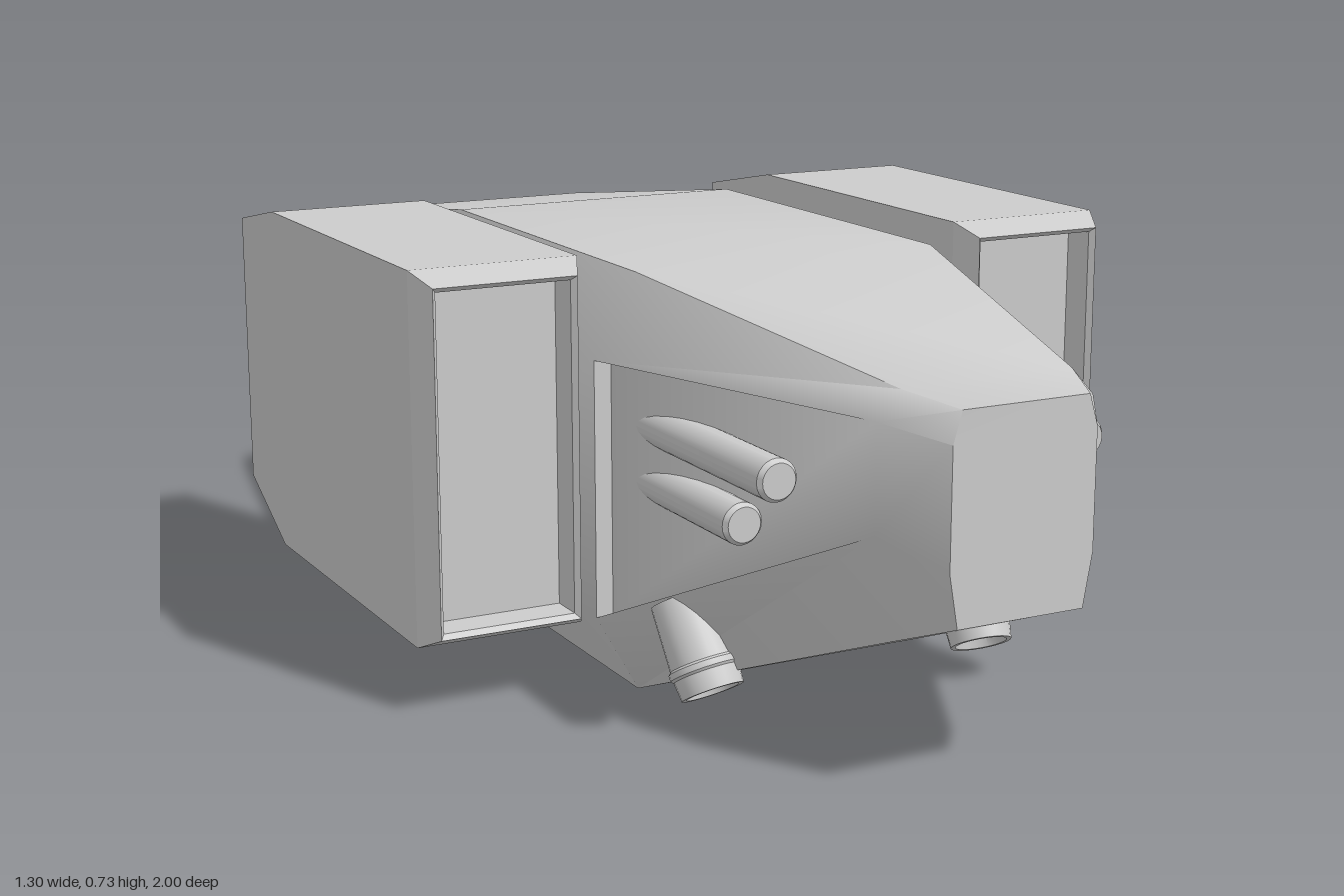
import * as THREE from 'three';
import { toCreasedNormals } from 'three/addons/utils/BufferGeometryUtils.js';

const grey = new THREE.MeshStandardMaterial({ color: 0xcccccc });
const greyOpen = new THREE.MeshStandardMaterial({ color: 0xcccccc, side: THREE.DoubleSide });

// Collects polygons as triangle fans
function polyBuilder() {
  const pos = [];
  return {
    add(...p) {
      for (let i = 1; i < p.length - 1; i++) pos.push(...p[0], ...p[i], ...p[i + 1]);
    },
    build(crease) {
      const g = new THREE.BufferGeometry();
      g.setAttribute('position', new THREE.Float32BufferAttribute(pos, 3));
      g.computeVertexNormals();
      return toCreasedNormals(g, crease);
    },
  };
}

function addMesh(parent, name, geometry, material = grey) {
  const m = new THREE.Mesh(geometry, material);
  m.name = name;
  parent.add(m);
  return m;
}

// Eight-sided hull, lofted nose to tail, with recessed cheeks behind the nose
function hullGeometry() {
  // z, roofY, roofHalf, shoulderY, sideHalf, sillY, floorY, floorHalf
  const stations = [
    [1.0, 0.61, 0.11, 0.56, 0.125, 0.37, 0.285, 0.11],
    [0.9, 0.624, 0.15, 0.58, 0.19, 0.41, 0.245, 0.15],
    [0.31, 0.71, 0.28, 0.572, 0.355, 0.14, 0.005, 0.28],
    [-0.42, 0.71, 0.28, 0.572, 0.355, 0.14, 0.005, 0.28],
    [-0.97, 0.635, 0.21, 0.52, 0.265, 0.16, 0.052, 0.21],
    [-1.0, 0.63, 0.195, 0.515, 0.235, 0.165, 0.055, 0.195],
  ];
  const rings = stations.map(([z, ry, rw, uy, w, ly, fy, fw]) => [
    [rw, ry, z], [-rw, ry, z], [-w, uy, z], [-w, ly, z],
    [-fw, fy, z], [fw, fy, z], [w, ly, z], [w, uy, z],
  ]);
  const b = polyBuilder();
  const recess = ([x, y, z]) => [Math.sign(x) * 0.325, y, z];
  for (let s = 0; s < rings.length - 1; s++) {
    for (let i = 0; i < 8; i++) {
      const j = (i + 1) % 8;
      const ai = rings[s][i], aj = rings[s][j], bi = rings[s + 1][i], bj = rings[s + 1][j];
      if (s === 1 && (i === 2 || i === 6)) {
        // cheek panel, rear step and the two thin ledges
        const pi = recess(bi), pj = recess(bj);
        b.add(ai, pi, pj, aj);
        b.add(pi, bi, bj, pj);
        b.add(ai, bi, pi);
        b.add(bj, aj, pj);
      } else b.add(ai, bi, bj, aj);
    }
  }
  b.add(...rings[0]);
  b.add(...rings[rings.length - 1].slice().reverse());
  return b.build(0.98);
}

// Side pod: sunken front panel, bevelled rim, body tapering to an open rear
function podGeometry() {
  const sections = [ // z, half width, half height
    [0.24, 0.115, 0.277], [0.3, 0.115, 0.277], [0.31, 0.123, 0.285],
    [0.26, 0.145, 0.308], [-0.4, 0.145, 0.308], [-0.7, 0.107, 0.252],
  ];
  const rings = sections.map(([z, w, h]) => [[w, h, z], [-w, h, z], [-w, -h, z], [w, -h, z]]);
  const b = polyBuilder();
  for (let s = 0; s < rings.length - 1; s++) {
    for (let i = 0; i < 4; i++) {
      const j = (i + 1) % 4;
      b.add(rings[s][i], rings[s + 1][i], rings[s + 1][j], rings[s][j]);
    }
  }
  b.add(...rings[0]);
  return b.build(0.1);
}

// Hollow thruster nozzle along +y, with collar and inner plug
function nozzleGeometry(length) {
  const L = length;
  const profile = [
    [0.052, 0], [0.055, L - 0.05], [0.059, L - 0.046], [0.059, L - 0.036], [0.055, L - 0.032],
    [0.052, L], [0.044, L], [0.022, L - 0.045], [0.014, L - 0.045], [0.014, L - 0.025], [0, L - 0.025],
  ].map(([x, y]) => new THREE.Vector2(x, y));
  return toCreasedNormals(new THREE.LatheGeometry(profile, 24), 0.5);
}

function addNozzle(parent, name, root, tip) {
  const a = new THREE.Vector3(...root), d = new THREE.Vector3(...tip).sub(a);
  const m = addMesh(parent, name, nozzleGeometry(d.length()), greyOpen);
  m.position.copy(a);
  m.quaternion.setFromUnitVectors(new THREE.Vector3(0, 1, 0), d.normalize());
}

// Gun barrel along +z with a softly chamfered muzzle
function barrelGeometry(length) {
  const profile = [[0, 0], [0.034, 0], [0.034, length - 0.008], [0.028, length], [0, length]]
    .map(([x, y]) => new THREE.Vector2(x, y));
  return toCreasedNormals(new THREE.LatheGeometry(profile, 24).rotateX(Math.PI / 2), 0.5);
}

export function createModel() {
  const model = new THREE.Group();
  model.name = 'shuttle';
  addMesh(model, 'hull', hullGeometry());

  for (const [side, s] of [['left', 1], ['right', -1]]) {
    addMesh(model, side + 'Pod', podGeometry(), greyOpen).position.set(s * 0.505, 0.4275, 0);

    // two barrels on each cheek
    for (const [label, y, front] of [['Upper', 0.473, 0.775], ['Lower', 0.38, 0.67]]) {
      addMesh(model, side + label + 'Barrel', barrelGeometry(front - 0.34)).position.set(s * 0.277, y, 0.34);
    }

    // manoeuvring thrusters
    addNozzle(model, side + 'FrontThruster', [s * 0.27, 0.2, 0.45], [s * 0.256, 0.065, 0.53]);
    addNozzle(model, side + 'RearThruster', [s * 0.23, 0.22, -0.66], [s * 0.4, 0.06, -0.775]);
  }
  return model;
}
